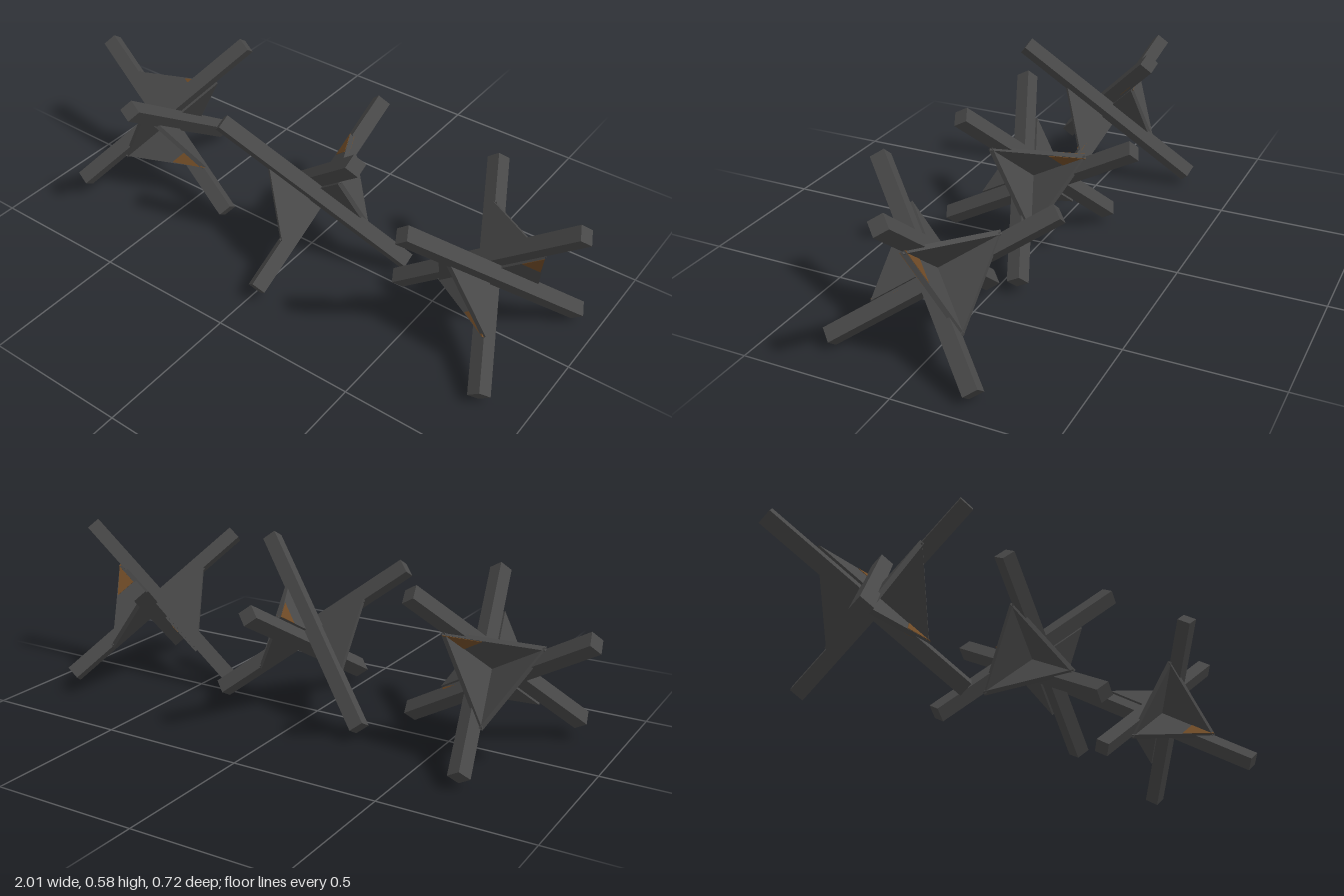
import * as THREE from 'three';

const steel = new THREE.MeshStandardMaterial({ color: 0x484848 });
steel.name = 'dark steel';
const rust = new THREE.MeshStandardMaterial({ color: 0x6e4a26 });
rust.name = 'rust';

const LENGTH = 0.79, THICK = 0.05, LEG = 0.222, PLATE = 0.016;
const HALF = THICK / 2;

// unit vector along a signed local axis: 1, -2, 3 ...
function axis(n) {
  const v = new THREE.Vector3();
  v.setComponent(Math.abs(n) - 1, Math.sign(n));
  return v;
}

// flat triangular prism lying in the plane of two signed axes
function trianglePlate(name, a, b, points, thickness, material) {
  const shape = new THREE.Shape(points.map(p => new THREE.Vector2(p[0], p[1])));
  const geometry = new THREE.ExtrudeGeometry(shape, { depth: thickness, bevelEnabled: false });
  geometry.translate(0, 0, -thickness / 2);
  const ea = axis(a), eb = axis(b);
  geometry.applyMatrix4(new THREE.Matrix4().makeBasis(ea, eb, ea.clone().cross(eb)));
  const mesh = new THREE.Mesh(geometry, material);
  mesh.name = name;
  return mesh;
}

// three crossed beams that touch side by side, braced in two opposite corners
function createObstacle({ center, u1, u2, rustTips }) {
  const group = new THREE.Group();
  group.name = 'obstacle';

  // beams
  const offsets = [[0, -HALF, -HALF], [-HALF, 0, HALF], [HALF, HALF, 0]];
  offsets.forEach((offset, i) => {
    const size = [THICK, THICK, THICK];
    size[i] = LENGTH;
    const beam = new THREE.Mesh(new THREE.BoxGeometry(...size), steel);
    beam.name = 'beam';
    beam.position.set(...offset);
    group.add(beam);
  });

  // corner braces
  for (const corner of [[1, -2, 3], [-1, 2, -3]]) {
    for (let i = 0; i < 3; i++) {
      group.add(trianglePlate('brace', corner[i], corner[(i + 1) % 3],
        [[0, 0], [LEG, 0], [0, LEG]], PLATE, steel));
    }
  }

  // rusty brace tips
  for (const [a, b] of rustTips) {
    group.add(trianglePlate('rustPatch', a, b,
      [[0.6 * LEG, 0], [LEG, 0], [0.6 * LEG, 0.38 * LEG]], PLATE + 0.003, rust));
  }

  // stand the frame on three of its beam ends
  const e1 = new THREE.Vector3(...u1).normalize();
  const e2 = new THREE.Vector3(...u2);
  e2.addScaledVector(e1, -e2.dot(e1)).normalize();
  const e3 = e1.clone().cross(e2);
  group.quaternion.setFromRotationMatrix(new THREE.Matrix4().makeBasis(e1, e2, e3));
  group.position.set(...center);
  return group;
}

export function createModel() {
  const model = new THREE.Group();
  model.name = 'obstacles';
  const obstacles = [
    { center: [-0.634, 0.271, 0.009], u1: [0.84, -0.51, 0.19], u2: [0.48, 0.63, -0.605],
      rustTips: [[1, -2], [2, -1]] },
    { center: [0.033, 0.268, 0.014], u1: [-0.668, -0.643, -0.378], u2: [0.747, -0.582, -0.304],
      rustTips: [[-3, -1]] },
    { center: [0.698, 0.258, 0.013], u1: [-0.78, -0.626, 0], u2: [0.49, -0.59, -0.64],
      rustTips: [[-1, 2], [3, 1]] },
  ];
  obstacles.forEach(o => model.add(createObstacle(o)));
  return model;
}
